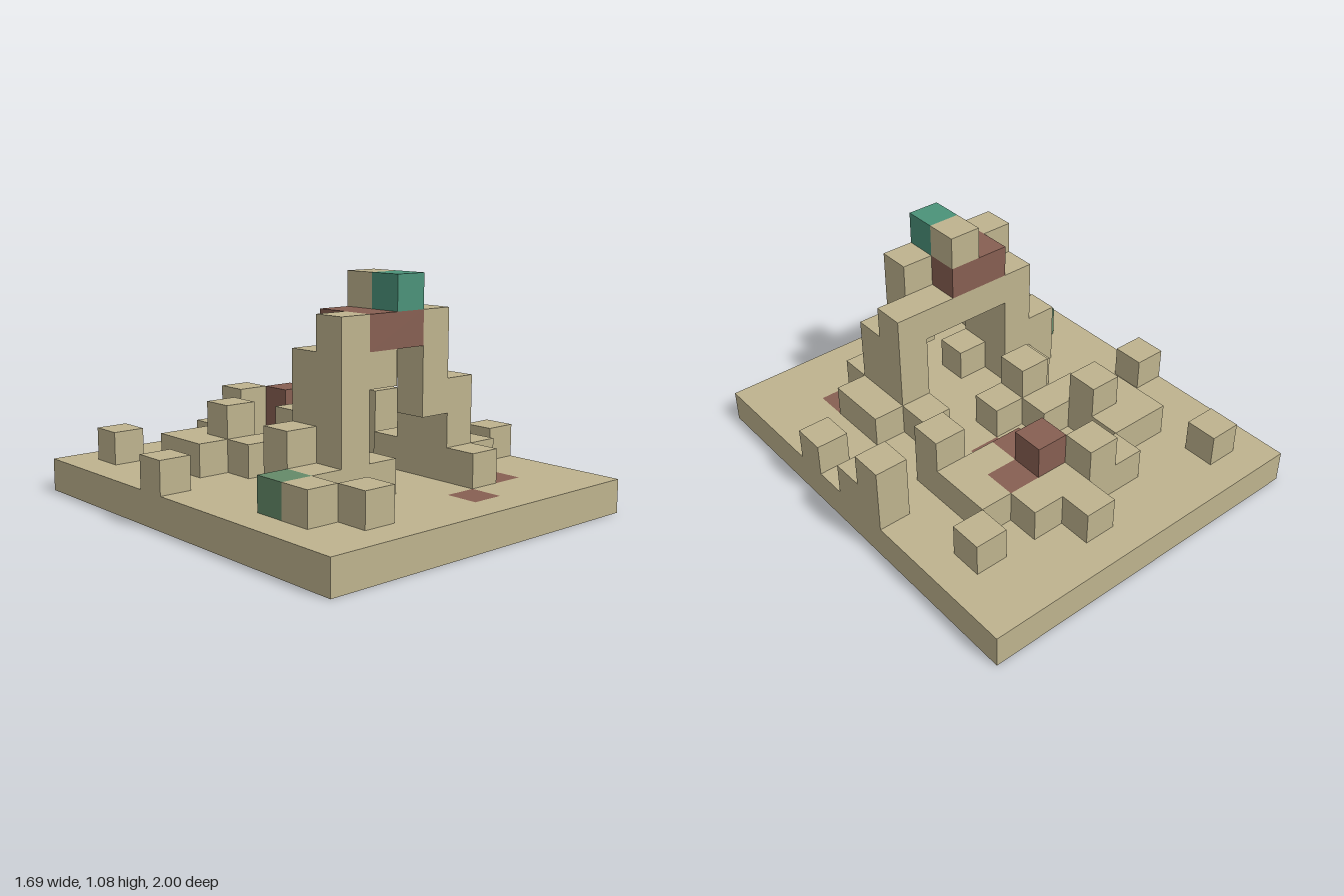
import * as THREE from 'three';

const CELL = 2 / 13, COLS = 11, ROWS = 13;

export function createModel() {
  const model = new THREE.Group();
  const material = (name, color) => {
    const m = new THREE.MeshStandardMaterial({ color });
    m.name = name;
    return m;
  };
  const sand = material('sand', 0xbeb38e);
  const brown = material('brown', 0x875f52);
  const teal = material('teal', 0x4b9279);
  const green = material('green', 0x648a69);

  // Block from grid cell (col, row, level) spanning w columns, d rows, h levels
  function block(parent, name, mat, col, row, level, w = 1, d = 1, h = 1) {
    const mesh = new THREE.Mesh(new THREE.BoxGeometry(w * CELL, h * CELL, d * CELL), mat);
    mesh.position.set(
      (col + w / 2 - COLS / 2) * CELL,
      (level + h / 2) * CELL,
      (row + d / 2 - ROWS / 2) * CELL);
    mesh.name = name;
    parent.add(mesh);
  }
  function group(name) {
    const g = new THREE.Group();
    g.name = name;
    model.add(g);
    return g;
  }

  // Ground slab: each row is split around its brown tiles
  const ground = group('ground');
  const tiles = { 3: [4, 5], 4: [5, 7], 5: [6], 10: [8], 11: [6] };
  for (let row = 0; row < ROWS; row++) {
    let start = 0;
    for (const col of [...(tiles[row] || []), COLS]) {
      if (col > start) block(ground, 'groundStrip', sand, start, row, 0, col - start);
      if (col < COLS) block(ground, 'brownTile', brown, col, row, 0);
      start = col + 1;
    }
  }

  // Archway: two legs, a crossbeam and a hanging pillar
  const arch = group('archway');
  block(arch, 'leftLegFront', sand, 3, 9, 1, 1, 1, 5);
  block(arch, 'leftLegBack', sand, 3, 8, 1, 1, 1, 3);
  block(arch, 'rightLegFront', sand, 7, 9, 1, 1, 1, 3);
  block(arch, 'rightLegBack', sand, 7, 8, 1, 1, 1, 3);
  block(arch, 'crossbeam', sand, 3, 8, 4, 5);
  block(arch, 'bracket', sand, 4, 9, 4);
  block(arch, 'hangingPillar', sand, 6, 9, 3, 1, 1, 3);
  block(arch, 'brownLintel', brown, 4, 8, 5, 2, 2);
  block(arch, 'crownBack', sand, 5, 8, 6);
  block(arch, 'crownFront', teal, 5, 9, 6);
  block(arch, 'archStep', sand, 4, 9, 1);

  // Low rubble blocks: col, row, width, depth, height
  const rubble = group('rubble');
  const stones = [
    [1, 1, 1, 1, 1], [6, 1, 1, 1, 1], [4, 2, 1, 1, 1], [5, 2, 1, 1, 2],
    [6, 2, 2, 1, 1], [9, 2, 1, 1, 1], [2, 3, 2, 1, 1], [2, 4, 1, 1, 1],
    [3, 4, 1, 1, 2], [7, 4, 1, 1, 1], [8, 3, 1, 2, 1], [8, 5, 1, 1, 2],
    [0, 5, 1, 1, 1], [3, 5, 2, 1, 1], [4, 6, 1, 1, 2], [5, 6, 1, 1, 1],
    [10, 5, 1, 1, 2], [10, 6, 1, 1, 1], [3, 7, 1, 1, 1], [7, 7, 1, 1, 1],
    [2, 8, 1, 1, 2], [2, 9, 1, 1, 1], [8, 8, 1, 2, 1], [10, 8, 1, 1, 1],
    [1, 10, 1, 1, 1], [7, 10, 1, 1, 1], [2, 11, 1, 1, 1],
  ];
  for (const [col, row, w, d, h] of stones) block(rubble, 'stone', sand, col, row, 1, w, d, h);
  block(rubble, 'greenStone', green, 1, 9, 1);

  // Brown stepped mound at the back
  const mound = group('brownMound');
  block(mound, 'moundPeak', brown, 6, 3, 1, 1, 1, 2);
  block(mound, 'moundFrontStep', brown, 6, 4, 1);
  block(mound, 'moundSideStep', brown, 7, 3, 1);

  return model;
}
